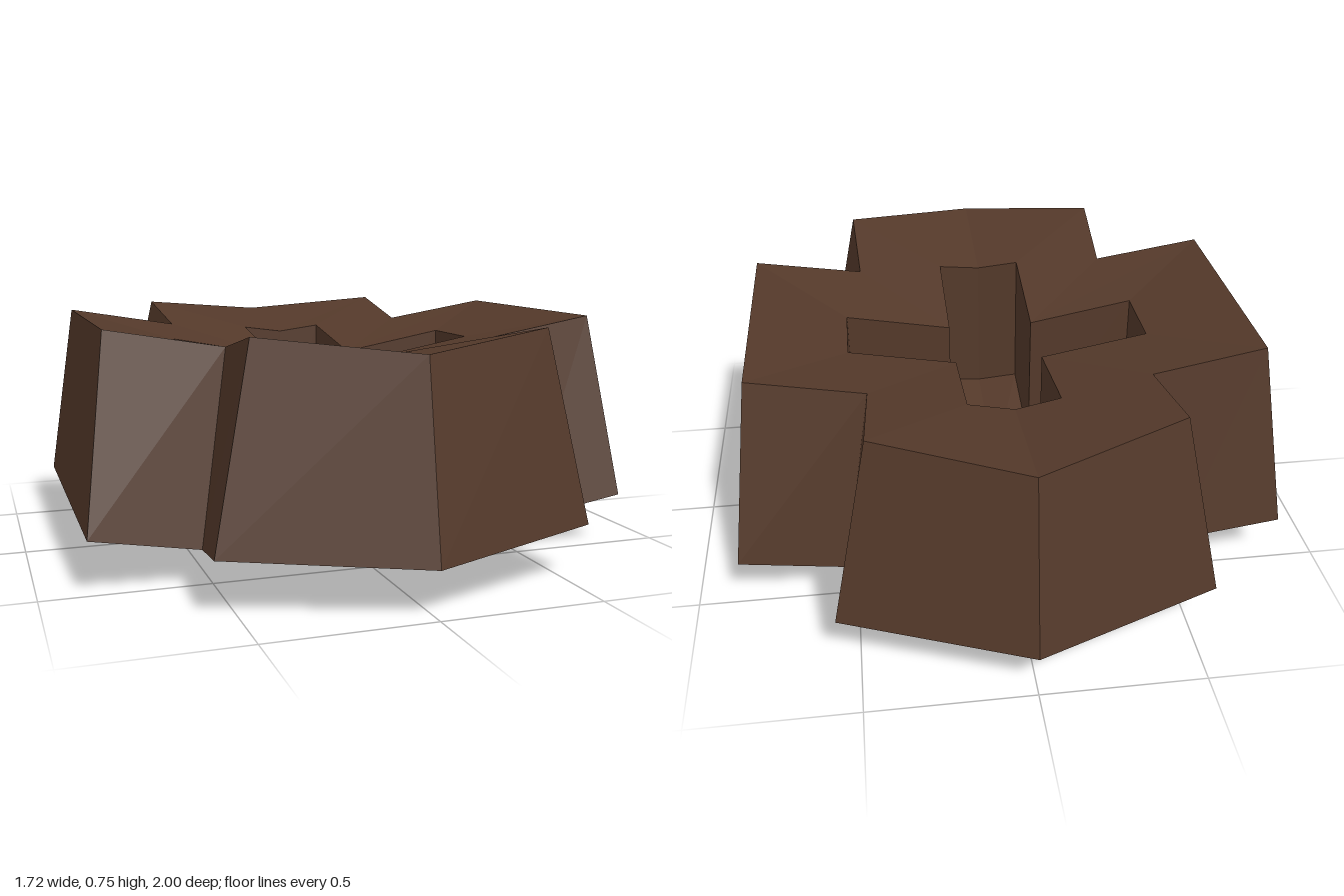
import * as THREE from 'three';

// Full 14-point cross loop from one quadrant: tip, shoulder, notch, arm (counter-clockwise from above)
function crossLoop(quadrant) {
  const [tip, shoulder, notch, arm] = quadrant;
  const right = [tip, shoulder, notch, arm];
  const flipZ = ([x, y, z]) => [x, y, -z];
  const flipX = ([x, y, z]) => [-x, y, z];
  const half = [...right, ...right.map(flipZ).reverse()];
  return [...half, ...half.slice(1, -1).map(flipX).reverse()];
}

function geometryFrom(triangles) {
  const geometry = new THREE.BufferGeometry();
  geometry.setAttribute('position', new THREE.Float32BufferAttribute(triangles.flat(2), 3));
  geometry.computeVertexNormals();
  return geometry;
}

// Band of quads between two loops
function band(a, b) {
  const triangles = [];
  a.forEach((p, i) => {
    const j = (i + 1) % a.length;
    triangles.push([p, a[j], b[j]], [p, b[j], b[i]]);
  });
  return geometryFrom(triangles);
}

// Fan that closes a loop around a centre point
function cap(loop, centreY, facingDown) {
  const centre = [0, centreY, 0];
  return geometryFrom(loop.map((p, i) => {
    const q = loop[(i + 1) % loop.length];
    return facingDown ? [centre, q, p] : [centre, p, q];
  }));
}

export function createModel() {
  const brown = new THREE.MeshStandardMaterial({ color: 0x54392a, flatShading: true });
  brown.name = 'dark brown';

  const keel = crossLoop([[0, 0.075, 0.65], [0.2, 0.07, 0.6], [0.24, 0, 0.24], [0.59, 0.07, 0.2]]);
  const base = crossLoop([[0, 0.14, 1], [0.565, 0.165, 0.805], [0.53, 0.105, 0.5], [0.86, 0.165, 0.515]]);
  const crown = crossLoop([[0, 0.7, 0.9], [0.445, 0.745, 0.74], [0.43, 0.685, 0.41], [0.785, 0.745, 0.4]]);
  const rim = crossLoop([[0, 0.64, 0.48], [0.14, 0.66, 0.467], [0.14, 0.597, 0.117], [0.483, 0.66, 0.117]]);
  const floor = rim.map(([x, y, z]) => [x, y - 0.48, z]);

  const group = new THREE.Group();
  group.name = 'crossShapedBlock';
  const add = (name, geometry) => {
    const mesh = new THREE.Mesh(geometry, brown);
    mesh.name = name;
    group.add(mesh);
  };

  add('undersideCentre', cap(keel, 0, true));
  add('undersideSlope', band(keel, base));
  add('outerWall', band(base, crown));
  add('dishedTop', band(crown, rim));
  add('recessWall', band(rim, floor));
  add('recessFloor', cap(floor, 0.1, false));
  return group;
}
